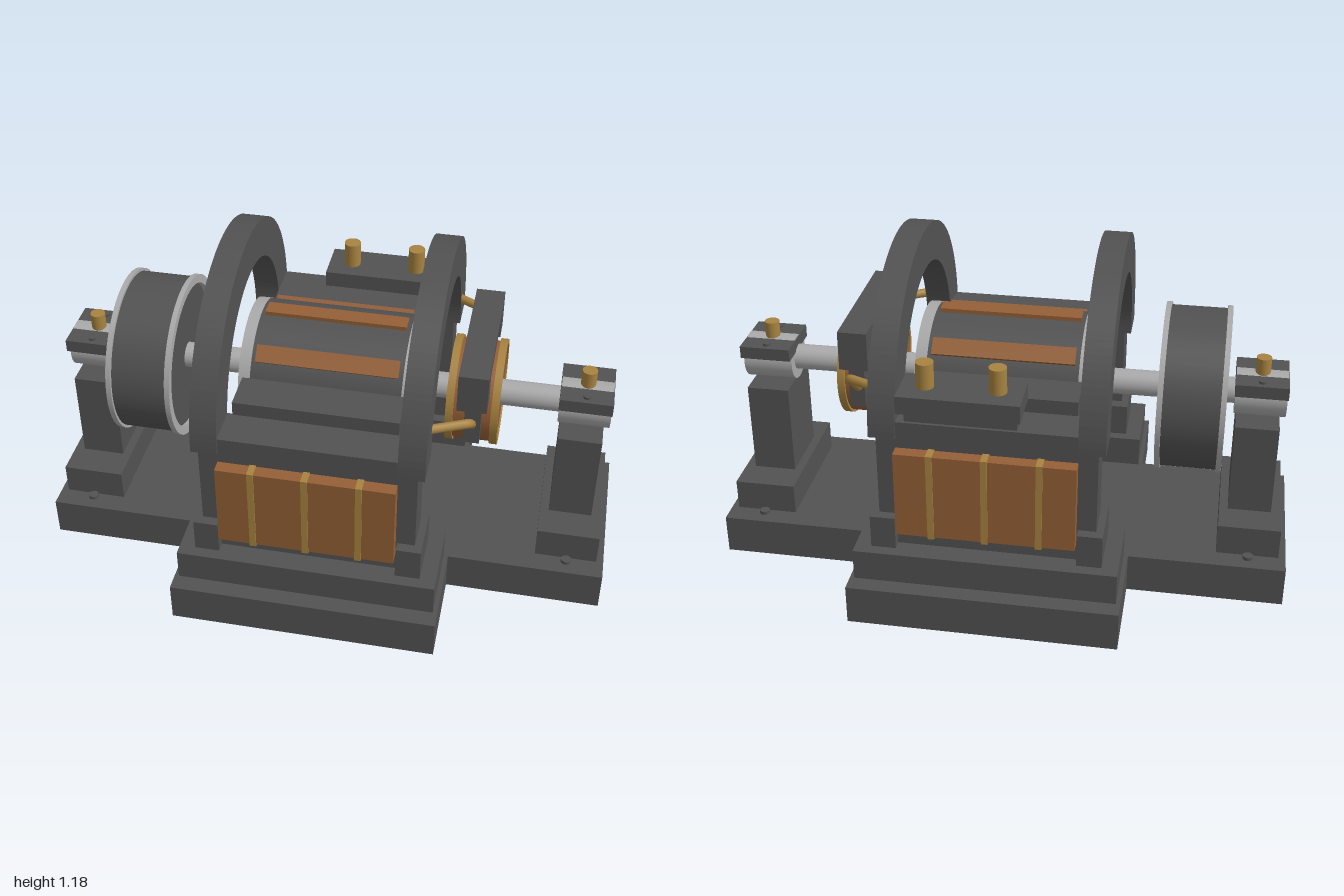
import * as THREE from 'three';

const AXIS_Y = 0.66; // height of the shaft line

export function createModel() {
  const root = new THREE.Group();
  root.name = 'dynamo';
  const material = (name, color) => {
    const m = new THREE.MeshStandardMaterial({ color });
    m.name = name;
    return m;
  };
  const iron = material('dark iron', 0x525252);
  const steel = material('pale steel', 0xaaaaaa);
  const copper = material('copper', 0x945f36);
  const brass = material('brass', 0xa88340);

  const add = (name, geo, mat, x = 0, y = 0, z = 0) => {
    const m = new THREE.Mesh(geo, mat);
    m.name = name;
    m.position.set(x, y, z);
    root.add(m);
    return m;
  };
  // Box given by its limits on each axis
  const box = (name, mat, x0, x1, y0, y1, z0, z1) =>
    add(name, new THREE.BoxGeometry(Math.abs(x1 - x0), y1 - y0, Math.abs(z1 - z0)), mat,
      (x0 + x1) / 2, (y0 + y1) / 2, (z0 + z1) / 2);
  // Cylinder lying along the shaft line
  const disc = (name, mat, r, x0, x1) =>
    add(name, new THREE.CylinderGeometry(r, r, x1 - x0, 48).rotateZ(Math.PI / 2), mat, (x0 + x1) / 2, AXIS_Y, 0);
  const post = (name, mat, r, x, y0, y1, z, n = 16) =>
    add(name, new THREE.CylinderGeometry(r, r, y1 - y0, n), mat, x, (y0 + y1) / 2, z);
  // Flat ring around the shaft line
  const ring = (name, mat, outer, inner, x0, x1) => {
    const profile = [[inner, x0], [outer, x0], [outer, x0], [outer, x1], [outer, x1], [inner, x1], [inner, x1], [inner, x0]];
    const geo = new THREE.LatheGeometry(profile.map(p => new THREE.Vector2(p[0], p[1])), 48);
    geo.rotateZ(-Math.PI / 2);
    return add(name, geo, mat, 0, AXIS_Y, 0);
  };

  // Cross-shaped base
  const plan = [[-1, -0.31], [-0.46, -0.31], [-0.46, -0.645], [0.46, -0.645], [0.46, -0.31], [1, -0.31],
    [1, 0.31], [0.46, 0.31], [0.46, 0.645], [-0.46, 0.645], [-0.46, 0.31], [-1, 0.31]];
  const baseShape = new THREE.Shape(plan.map(p => new THREE.Vector2(p[0], p[1])));
  add('base', new THREE.ExtrudeGeometry(baseShape, { depth: 0.14, bevelEnabled: false })
    .rotateX(-Math.PI / 2), iron);

  // Shaft
  disc('shaft', steel, 0.045, -0.95, 0.95);

  // Bearing stands at both ends
  for (const s of [-1, 1]) {
    box('bearingFoot', iron, s * 0.76, s * 0.975, 0.14, 0.25, -0.235, 0.235);
    box('bearingPost', iron, s * 0.79, s * 0.94, 0.25, 0.58, -0.12, 0.12);
    disc('bearing', steel, 0.08, s * 0.87 - 0.088, s * 0.87 + 0.088);
    box('bearingCap', iron, s * 0.78, s * 0.96, 0.69, 0.735, -0.105, 0.105);
    post('oilCup', brass, 0.026, s * 0.87, 0.73, 0.795, 0);
    for (const t of [-1, 1]) {
      post('capBolt', iron, 0.013, s * 0.87, 0.73, 0.743, t * 0.075, 12);
      post('footBolt', iron, 0.018, s * 0.87, 0.14, 0.152, t * 0.253, 12);
    }
  }

  // Field magnets on the front and back sides
  for (const t of [-1, 1]) {
    box('magnetFoot', iron, -0.445, 0.445, 0.14, 0.25, t * 0.3, t * 0.585);
    box('magnetCore', iron, -0.365, 0.365, 0.25, 0.66, t * 0.38, t * 0.51);
    box('magnetTop', iron, -0.3, 0.3, 0.63, 0.72, t * 0.37, t * 0.51);
    box('poleShoe', iron, -0.28, 0.28, 0.57, 0.77, t * 0.235, t * 0.375);
    box('fieldCoil', copper, -0.3, 0.3, 0.315, 0.625, t * 0.33, t * 0.555);
    for (const x of [-0.18, 0, 0.18])
      box('coilBand', brass, x - 0.011, x + 0.011, 0.31, 0.63, t * 0.325, t * 0.56);
    for (const s of [-1, 1])
      box('archFoot', iron, s * 0.305, s * 0.39, 0.25, 0.368, t * 0.337, t * 0.545);
  }

  // Two arched yokes
  const arch = new THREE.Shape();
  arch.absarc(0, 0, 0.518, 0, Math.PI, false);
  arch.absarc(0, 0, 0.38, Math.PI, 0, true);
  const archGeo = new THREE.ExtrudeGeometry(arch, { depth: 0.09, bevelEnabled: false, curveSegments: 32 });
  archGeo.translate(0, 0, -0.045).rotateY(Math.PI / 2);
  for (const s of [-1, 1]) add('archYoke', archGeo, iron, s * 0.343, AXIS_Y, 0);

  // Armature with eight copper bars
  disc('armatureCore', iron, 0.234, -0.26, 0.26);
  for (const s of [-1, 1]) disc('armatureEnd', steel, 0.235, s * 0.28 - 0.02, s * 0.28 + 0.02);
  for (let i = 0; i < 8; i++) {
    const a = i * Math.PI / 4;
    const bar = add('armatureBar', new THREE.BoxGeometry(0.49, 0.03, 0.06), copper,
      0, AXIS_Y + 0.231 * Math.cos(a), 0.231 * Math.sin(a));
    bar.rotation.x = a;
  }

  // Belt pulley with pale rims
  disc('pulley', iron, 0.28, -0.735, -0.545);
  for (const x of [-0.64 - 0.104, -0.64 + 0.104])
    ring('pulleyRim', steel, 0.29, 0.26, x - 0.009, x + 0.009);

  // Commutator
  disc('commutator', copper, 0.175, 0.41, 0.58);
  for (const x of [0.42, 0.573]) ring('commutatorRing', brass, 0.184, 0.168, x - 0.014, x + 0.012);

  // Brush frame, holders and leads
  box('brushBar', iron, 0.45, 0.55, 0.855, 0.9, -0.26, 0.26);
  for (const t of [-1, 1]) {
    box('brushArm', iron, 0.45, 0.55, 0.76, 0.856, t * 0.18, t * 0.26);
    box('brushHolder', iron, 0.475, 0.53, 0.6, 0.765, t * 0.177, t * 0.222);
    const path = new THREE.CurvePath();
    const pts = [[0.5, 0.67, 0.21], [0.5, 0.765, 0.325], [0.37, 0.77, 0.39]]
      .map(p => new THREE.Vector3(p[0], p[1], p[2] * t));
    const before = pts[1].clone().lerp(pts[0], 0.15);
    const after = pts[1].clone().lerp(pts[2], 0.15);
    path.add(new THREE.LineCurve3(pts[0], before));
    path.add(new THREE.QuadraticBezierCurve3(before, pts[1], after));
    path.add(new THREE.LineCurve3(after, pts[2]));
    add('brushLead', new THREE.TubeGeometry(path, 24, 0.016, 10), brass);
  }

  // Terminal board on the back magnet
  box('terminalSupport', iron, -0.1, 0.27, 0.72, 0.766, -0.5, -0.38);
  box('terminalBoard', iron, -0.115, 0.29, 0.765, 0.828, -0.535, -0.37);
  for (const x of [-0.03, 0.208]) post('terminalPost', brass, 0.03, x, 0.82, 0.917, -0.45);

  return root;
}
